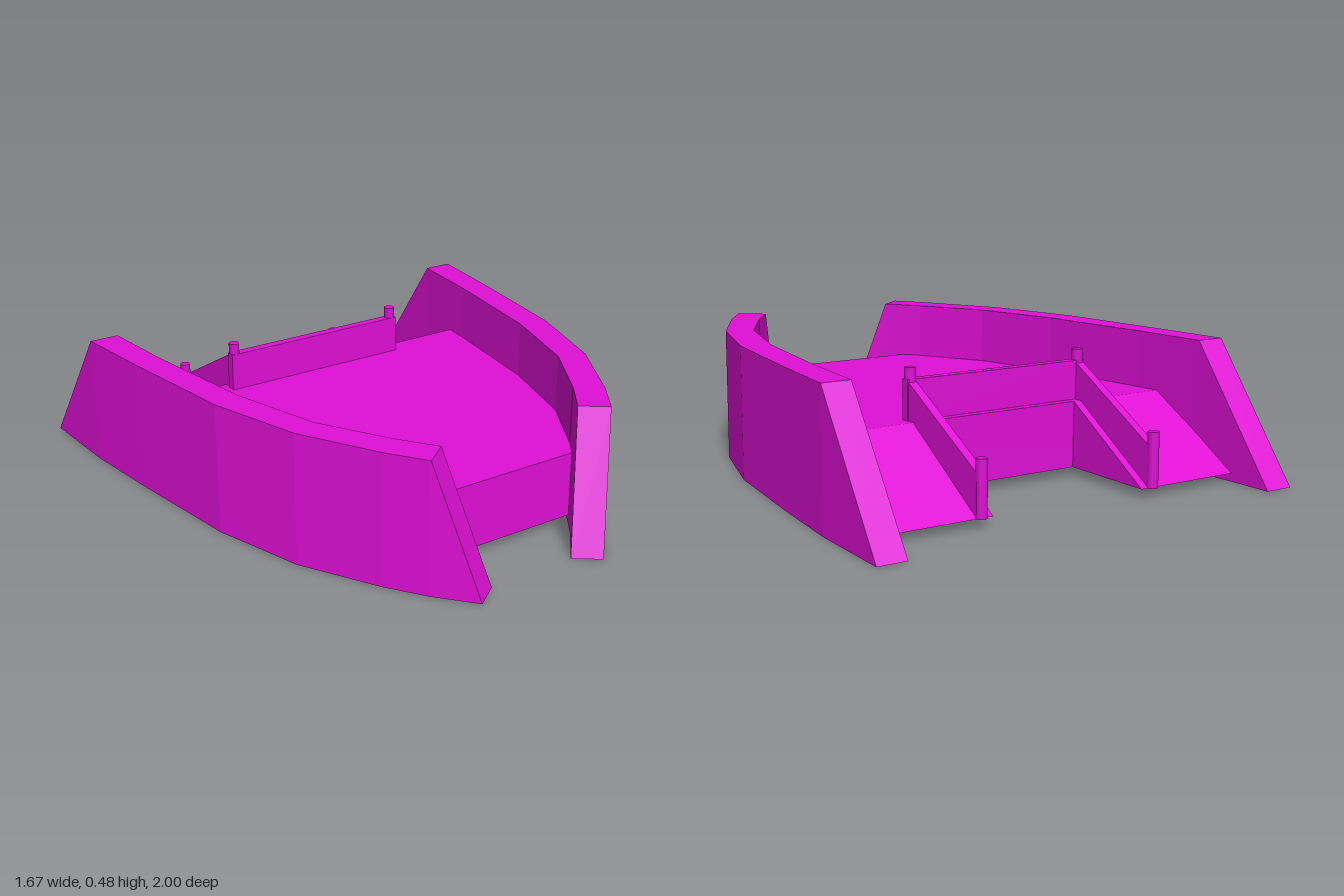
import * as THREE from 'three';

const FLOOR = 0.03, DECK = 0.27, WALL = 0.48;

// Wall stations from back to front: outer x, z, inner x, z, height
const STATIONS = [
  [0.833, -1.0, 0.725, -1.0, 0],
  [0.817, -0.65, 0.71, -0.65, WALL],
  [0.78, -0.34, 0.68, -0.36, WALL],
  [0.715, 0.12, 0.612, 0.09, WALL],
  [0.613, 0.46, 0.515, 0.425, WALL],
  [0.46, 0.735, 0.372, 0.67, WALL],
  [0.368, 0.868, 0.28, 0.80, WALL],
  [0.255, 1.0, 0.167, 0.935, 0],
];

// Curved wall: a segmented box whose rings are moved onto the stations
function wallGeometry(side) {
  const n = STATIONS.length - 1;
  const box = new THREE.BoxGeometry(2, 1, n, 1, 1, n);
  const p = box.attributes.position;
  for (let i = 0; i < p.count; i++) {
    const [ox, oz, ix, iz, h] = STATIONS[Math.round(p.getZ(i) + n / 2)];
    const outer = p.getX(i) * side > 0;
    p.setXYZ(i, side * (outer ? ox : ix), p.getY(i) > 0 ? h : 0, outer ? oz : iz);
  }
  const g = box.toNonIndexed();
  g.computeVertexNormals();
  return g;
}

// Side profile given as [-z, y] points, extruded from x0 to x1
function profile(points, x0, x1) {
  const shape = new THREE.Shape(points.map(([u, y]) => new THREE.Vector2(u, y)));
  const g = new THREE.ExtrudeGeometry(shape, { depth: x1 - x0, bevelEnabled: false });
  return g.rotateY(Math.PI / 2).translate(x0, 0, 0);
}

export function createModel() {
  const model = new THREE.Group();
  const magenta = new THREE.MeshStandardMaterial({ color: 0xe010d6 });
  const add = (name, geometry, x = 0, y = 0, z = 0) => {
    const mesh = new THREE.Mesh(geometry, magenta);
    mesh.name = name;
    mesh.position.set(x, y, z);
    model.add(mesh);
    return mesh;
  };

  // Deck slab, its edges buried in the walls
  const half = [[0.73, -0.455], [0.72, -0.3], [0.66, 0.105], [0.56, 0.44], [0.41, 0.7], [0.375, 0.735]];
  const outline = [...half, ...half.map(([x, z]) => [-x, z]).reverse()];
  const deck = new THREE.ExtrudeGeometry(
    new THREE.Shape(outline.map(([x, z]) => new THREE.Vector2(x, -z))),
    { depth: DECK - FLOOR, bevelEnabled: false });
  add('deck', deck.rotateX(-Math.PI / 2), 0, FLOOR, 0);

  // Rail across the back of the deck
  add('crossRail', new THREE.BoxGeometry(0.74, 0.14, 0.034), 0, 0.34, -0.408);

  for (const side of [1, -1]) {
    const label = side > 0 ? 'left' : 'right';
    const span = (a, b) => (side > 0 ? [a, b] : [-b, -a]);

    add(label + 'Wall', wallGeometry(side));

    // Rear ramp wedge
    add(label + 'Ramp', profile(
      [[0.455, FLOOR], [0.83, FLOOR], [0.455, DECK]], ...span(0.305, 0.745)));

    // Sloping rail along the ramp's inner edge
    add(label + 'RampRail', profile(
      [[0.41, DECK], [0.455, DECK], [0.83, FLOOR], [0.83, 0.175], [0.41, 0.41]],
      ...span(0.335, 0.367)));

    // Posts at the top and foot of the ramp rail
    for (const [name, z, y0, y1] of [['UpperPost', -0.41, DECK, 0.45], ['LowerPost', -0.83, FLOOR, 0.225]]) {
      const post = new THREE.CylinderGeometry(0.02, 0.02, y1 - y0, 8);
      add(label + name, post, side * 0.351, (y0 + y1) / 2, z);
    }
  }
  return model;
}
